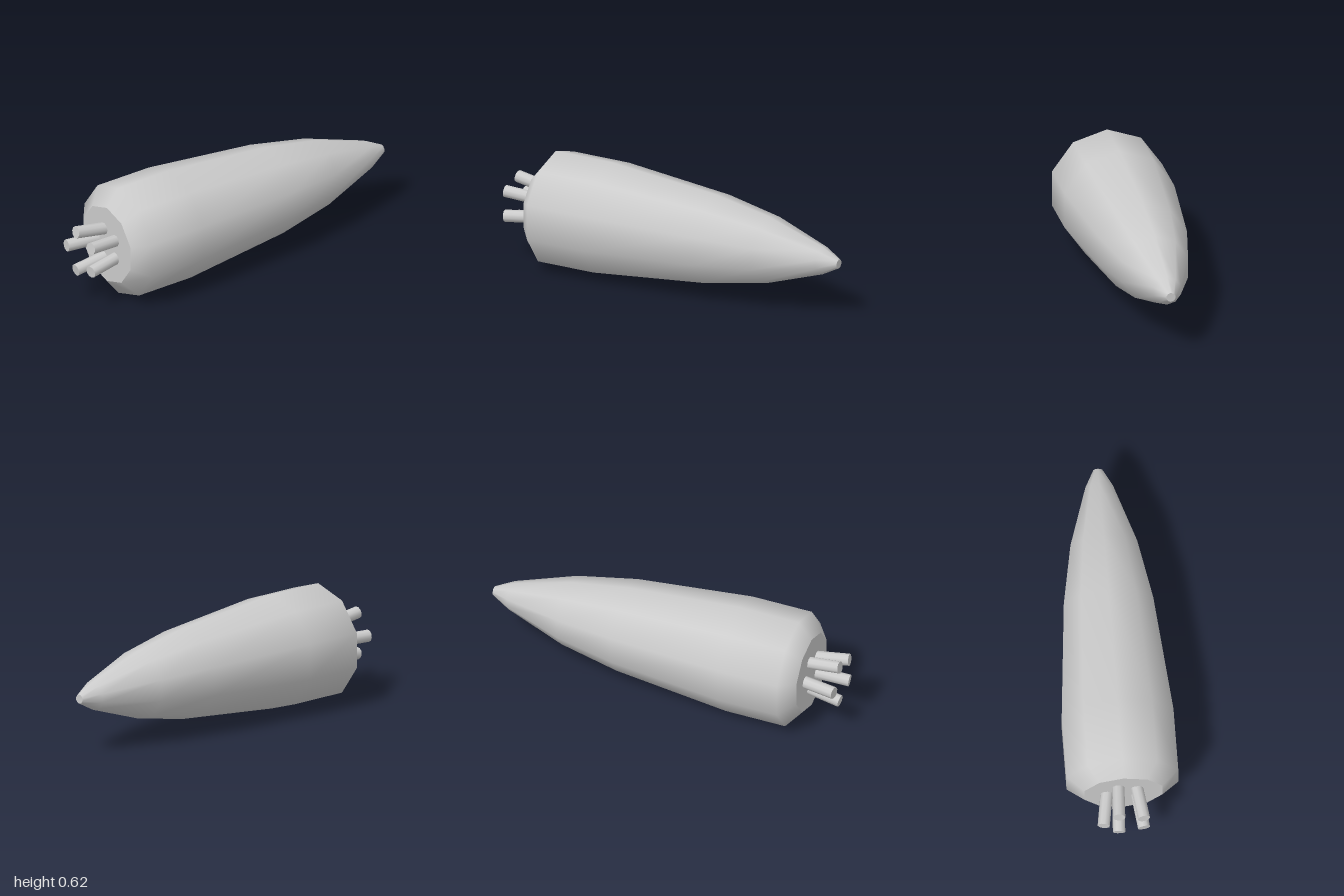
import * as THREE from 'three';

const AXIS_Y = 0.312;
const SIDES = 10;

export function createModel() {
  const group = new THREE.Group();
  const material = new THREE.MeshStandardMaterial({ color: 0xcccccc });

  // Hull: ten-sided tapering body along x, tail to nose as [x, radius].
  // Doubled points keep the rim of each flat end sharp.
  const profile = [
    [-0.815, 0], [-0.815, 0.217], [-0.815, 0.217],
    [-0.74, 0.311], [-0.4, 0.311], [0.24, 0.249], [0.57, 0.186],
    [0.9, 0.077], [1, 0.025], [1, 0.025], [1, 0],
  ].map(([x, r]) => new THREE.Vector2(r, x));
  const hullGeometry = new THREE.LatheGeometry(profile, SIDES, Math.PI / 2);
  hullGeometry.rotateZ(-Math.PI / 2);
  const hull = new THREE.Mesh(hullGeometry, material);
  hull.name = 'hull';
  hull.position.y = AXIS_Y;
  group.add(hull);

  // Exhaust pipes: ring of five, splayed outward towards the tail
  const pipes = new THREE.Group();
  pipes.name = 'exhaustPipes';
  pipes.position.y = AXIS_Y;
  const up = new THREE.Vector3(0, 1, 0);
  for (let i = 0; i < 5; i++) {
    const angle = (i / 5) * Math.PI * 2;
    const at = (x, r) => new THREE.Vector3(x, r * Math.sin(angle), -r * Math.cos(angle));
    const start = at(-0.78, 0.084);
    const end = at(-0.993, 0.118);
    const pipe = new THREE.Mesh(
      new THREE.CylinderGeometry(0.033, 0.033, start.distanceTo(end), SIDES), material);
    pipe.name = `exhaustPipe${i + 1}`;
    pipe.position.lerpVectors(start, end, 0.5);
    pipe.quaternion.setFromUnitVectors(up, end.sub(start).normalize());
    pipes.add(pipe);
  }
  group.add(pipes);

  return group;
}
